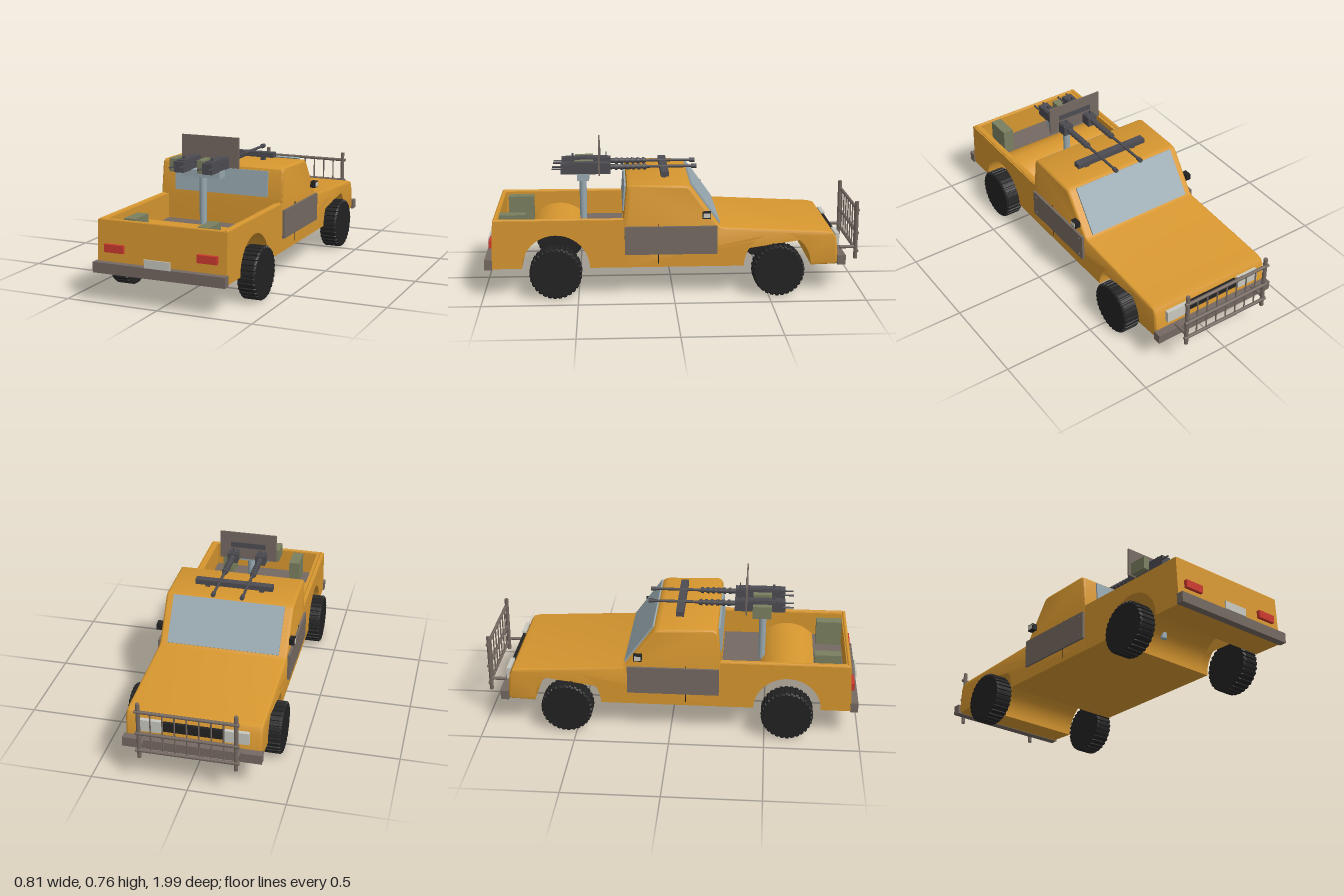
import * as THREE from 'three';
import { toCreasedNormals } from 'three/addons/utils/BufferGeometryUtils.js';

const paint = (name, color) => new THREE.MeshStandardMaterial({ name, color });

export function createModel() {
  const truck = new THREE.Group();
  truck.name = 'armedPickup';
  const yellow = paint('yellowPaint', 0xd6962f), steel = paint('brownSteel', 0x756962);
  const glass = paint('glassBlue', 0x98a9b0), rubber = paint('rubber', 0x222222);
  const red = paint('lampRed', 0xcc392d), pale = paint('paleGrey', 0xc8c8c0);
  const olive = paint('olive', 0x7a7f60), gunmetal = paint('gunmetal', 0x4c4c52);

  const add = (name, geo, mat, x = 0, y = 0, z = 0, parent = truck) => {
    const m = new THREE.Mesh(geo, mat);
    m.name = name;
    m.position.set(x, y, z);
    parent.add(m);
    return m;
  };
  // box given by its limits
  const box = (name, mat, x0, x1, y0, y1, z0, z1, parent) =>
    add(name, new THREE.BoxGeometry(x1 - x0, y1 - y0, z1 - z0), mat,
      (x0 + x1) / 2, (y0 + y1) / 2, (z0 + z1) / 2, parent);
  // round bar between two points
  const bar = (name, mat, a, b, r, r2 = r, sides = 12, parent = truck) => {
    const p = new THREE.Vector3(...a), q = new THREE.Vector3(...b);
    const m = add(name, new THREE.CylinderGeometry(r2, r, p.distanceTo(q), sides), mat, 0, 0, 0, parent);
    m.position.copy(p).lerp(q, 0.5);
    m.quaternion.setFromUnitVectors(new THREE.Vector3(0, 1, 0), q.sub(p).normalize());
    return m;
  };

  // side profiles are lists of [z, y], extruded across x
  const BASE = 0.155, R = 0.178, FRONT = -0.55, REAR = 0.617;
  const arch = (cz, r = R, from = Math.PI, to = 0) => Array.from({ length: 25 }, (_, i) => {
    const a = from + (to - from) * i / 24;
    return [cz + r * Math.cos(a), BASE + r * Math.sin(a)];
  });
  const shapeOf = pts => new THREE.Shape(pts.map(p => new THREE.Vector2(p[0], p[1])));
  const across = (pts, x0, x1) => {
    const g = new THREE.ExtrudeGeometry(shapeOf(pts), { depth: x1 - x0, bevelEnabled: false });
    g.rotateY(-Math.PI / 2).translate(x1, 0, 0);
    return toCreasedNormals(g, 0.5);
  };

  // cab and bonnet: rounded upper edges, sharp arches, sill and rear joint
  const bevel = 0.014;
  const cab = new THREE.ExtrudeGeometry(shapeOf([
    [-0.862, BASE], ...arch(FRONT), [0.26, BASE], [0.26, 0.41], [0.247, 0.57], [0.24, 0.587], [0.222, 0.597],
    [-0.055, 0.591], [-0.075, 0.588], [-0.09, 0.577], [-0.235, 0.375], [-0.26, 0.364], [-0.81, 0.336],
    [-0.845, 0.327], [-0.862, 0.3], [-0.874, 0.175]
  ]), { depth: 0.7 - 2 * bevel, bevelThickness: bevel, bevelSize: bevel, bevelOffset: -bevel, bevelSegments: 4 });
  const pos = cab.attributes.position;
  for (let i = 0; i < pos.count; i++) {
    let z = pos.getX(i), y = pos.getY(i);
    if (y < BASE + bevel + 0.002 && z > -0.85) y = BASE;
    if (z > 0.24 && y < 0.42) z = 0.26;
    const d = Math.hypot(z - FRONT, y - BASE);
    if (d < R + bevel + 0.002 && y < 0.355) {
      z = FRONT + (z - FRONT) * R / d;
      y = BASE + (y - BASE) * R / d;
    }
    pos.setXY(i, z, y);
  }
  cab.translate(0, 0, -0.35 + bevel).rotateY(-Math.PI / 2);
  add('cabAndBonnet', toCreasedNormals(cab, 0.6), yellow);

  // cargo bed: sides, tailgate, floor with a wheel hump across it
  for (const s of [-1, 1]) {
    const x0 = s > 0 ? 0.31 : -0.35;
    add('bedSide', across([[0.26, BASE], ...arch(REAR), [0.955, BASE], [0.942, 0.412], [0.26, 0.412]],
      x0, x0 + 0.04), yellow);
    const liner = add('bedLiner', new THREE.PlaneGeometry(0.66, 0.155), yellow, s * 0.309, 0.33, 0.59);
    liner.rotation.y = -s * Math.PI / 2;
    bar('bedRail', yellow, [s * 0.335, 0.41, 0.265], [s * 0.335, 0.41, 0.935], 0.009);
  }
  add('tailgate', across([[0.918, BASE], [0.955, BASE], [0.942, 0.412], [0.918, 0.412]], -0.31, 0.31), yellow);
  bar('tailgateRail', yellow, [-0.335, 0.41, 0.932], [0.335, 0.41, 0.932], 0.009);
  const cut = Math.asin(0.119 / 0.19);
  add('bedFloor', across([[0.26, BASE], ...arch(REAR), [0.92, BASE], [0.92, 0.274],
    ...arch(REAR, 0.19, cut, Math.PI - cut), [0.26, 0.274]], -0.31, 0.31), yellow);
  box('floorMatFront', steel, -0.308, 0.308, 0.274, 0.28, 0.262, 0.475);
  box('floorMatRear', steel, -0.308, 0.308, 0.274, 0.28, 0.755, 0.918);
  box('bedCan', olive, -0.23, -0.17, 0.28, 0.417, 0.755, 0.895);
  box('bedCan', olive, 0.18, 0.24, 0.28, 0.417, 0.775, 0.915);

  // windows
  const screen = add('windscreen', new THREE.BoxGeometry(0.61, 0.009, 0.262), glass, 0, 0.486, -0.169);
  screen.rotation.x = -Math.atan2(0.202, 0.145);
  const rearWindow = add('rearWindow', new THREE.BoxGeometry(0.535, 0.136, 0.009), glass, 0, 0.508, 0.2555);
  rearWindow.rotation.x = -0.081;

  // wheels with a toothed tread
  const teeth = 30, tread = [];
  for (let i = 0; i < teeth; i++)
    for (const [f, r] of [[0, 0.137], [0.55, 0.137], [0.65, 0.131], [0.9, 0.131]]) {
      const a = (i + f) / teeth * Math.PI * 2;
      tread.push([r * Math.cos(a), r * Math.sin(a)]);
    }
  const tyre = new THREE.ExtrudeGeometry(shapeOf(tread),
    { depth: 0.078, bevelThickness: 0.008, bevelSize: 0.006, bevelOffset: -0.006, bevelSegments: 1 });
  tyre.translate(0, 0, -0.039).rotateY(Math.PI / 2);
  for (const z of [FRONT, REAR]) for (const s of [-1, 1]) add('wheel', tyre, rubber, s * 0.358, 0.139, z);

  // door armour, seams and mirrors
  for (const s of [-1, 1]) {
    add('doorArmour', new THREE.BoxGeometry(0.014, 0.15, 0.485), steel, s * 0.356, 0.301, 0.013);
    for (const z of [-0.2, 0.225]) for (const y of [0.25, 0.352])
      bar('armourBolt', steel, [s * 0.36, y, z], [s * 0.367, y, z], 0.006, 0.006, 8);
    add('doorSeam', new THREE.BoxGeometry(0.004, 0.215, 0.004), rubber, s * 0.35, 0.282, 0.08);
    add('mirror', new THREE.BoxGeometry(0.03, 0.034, 0.044), rubber, s * 0.364, 0.437, -0.172);
    add('mirrorGlass', new THREE.BoxGeometry(0.004, 0.024, 0.034), pale, s * 0.379, 0.437, -0.172);
  }

  // bumpers, lamps, plate and grille
  box('rearBumper', steel, -0.358, 0.358, 0.152, 0.206, 0.95, 0.99);
  box('frontBumper', steel, -0.358, 0.358, 0.155, 0.206, -0.912, -0.868);
  box('numberPlate', pale, -0.07, 0.07, 0.206, 0.248, 0.986, 0.994);
  box('grille', rubber, -0.155, 0.155, 0.25, 0.3, -0.88, -0.86);
  for (const s of [-1, 1]) {
    add('tailLamp', new THREE.BoxGeometry(0.106, 0.04, 0.02), red, s * 0.252, 0.275, 0.958);
    add('headlamp', new THREE.BoxGeometry(0.125, 0.065, 0.022), pale, s * 0.225, 0.275, -0.876);
  }

  // bull bar
  const guard = new THREE.Group();
  guard.name = 'bullBar';
  truck.add(guard);
  for (const s of [-1, 1]) {
    bar('guardPost', steel, [s * 0.245, 0.155, -0.985], [s * 0.245, 0.47, -0.985], 0.011, 0.011, 8, guard);
    bar('guardBracket', steel, [s * 0.245, 0.22, -0.9], [s * 0.245, 0.22, -0.985], 0.009, 0.009, 8, guard);
  }
  for (const y of [0.2, 0.3, 0.425])
    bar('guardRail', steel, [-0.262, y, -0.99], [0.262, y, -0.99], 0.009, 0.009, 8, guard);
  for (let i = 1; i < 8; i++) {
    const x = -0.245 + i * 0.49 / 8;
    bar('guardRod', steel, [x, 0.2, -0.987], [x, 0.425, -0.987], 0.004, 0.004, 6, guard);
  }

  // roof light bar
  box('lightBar', gunmetal, -0.215, 0.215, 0.61, 0.637, 0.018, 0.06);
  for (const x of [-0.15, 0.15]) box('lightBarFoot', gunmetal, x - 0.012, x + 0.012, 0.59, 0.612, 0.03, 0.05);

  // gun mount, shield and ammunition cans
  bar('mountPost', glass, [0, 0.25, 0.475], [0, 0.572, 0.475], 0.018, 0.02, 24);
  box('mountPlate', glass, -0.107, 0.107, 0.567, 0.606, 0.44, 0.505);
  box('shield', steel, -0.161, 0.161, 0.605, 0.765, 0.382, 0.39);
  box('shieldSlot', gunmetal, -0.1, 0.1, 0.675, 0.705, 0.378, 0.382);
  box('ammoCan', olive, -0.17, -0.135, 0.59, 0.658, 0.42, 0.52);
  box('ammoCan', olive, -0.012, 0.023, 0.59, 0.658, 0.42, 0.52);

  // twin guns
  for (const x of [-0.08, 0.078]) {
    const gun = new THREE.Group();
    gun.name = 'gun';
    gun.position.set(x, 0.637, 0);
    truck.add(gun);
    box('receiver', gunmetal, -0.028, 0.028, -0.034, 0.022, 0.324, 0.592, gun);
    box('receiverCover', gunmetal, -0.022, 0.022, 0.02, 0.027, 0.34, 0.57, gun);
    bar('barrelJacket', gunmetal, [0, 0, 0.33], [0, 0, 0.13], 0.014, 0.011, 12, gun);
    for (let i = 0; i < 6; i++)
      bar('coolingRing', gunmetal, [0, 0, 0.3 - i * 0.03], [0, 0, 0.284 - i * 0.03], 0.018, 0.016, 12, gun);
    bar('barrel', gunmetal, [0, 0, 0.14], [0, 0, -0.13], 0.008, 0.007, 12, gun);
    bar('muzzle', gunmetal, [0, 0, -0.11], [0, 0, -0.138], 0.012, 0.012, 12, gun);
    box('sight', gunmetal, -0.005, 0.005, 0.02, 0.043, 0.525, 0.537, gun);
    box('frontSight', gunmetal, -0.003, 0.003, 0.02, 0.05, 0.345, 0.352, gun);
    bar('chargingHandle', gunmetal, [-0.034, 0, 0.46], [0.034, 0, 0.46], 0.005, 0.005, 8, gun);
    for (const s of [-1, 1])
      bar('grip', gunmetal, [s * 0.028, -0.004, 0.58], [s * 0.028, -0.004, 0.638], 0.005, 0.005, 8, gun);
  }
  return truck;
}
